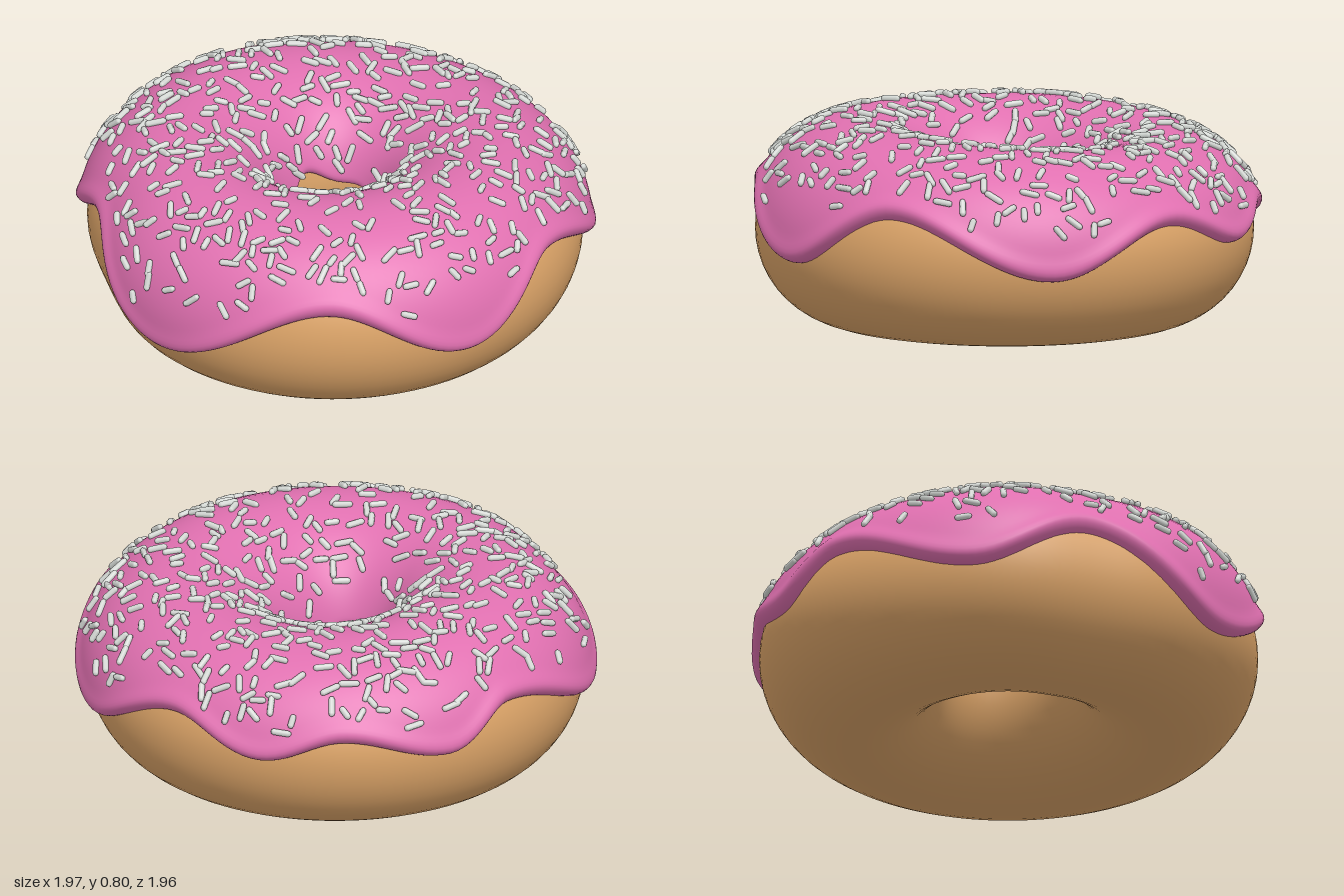
import * as THREE from 'three';
import { mergeGeometries } from 'three/addons/utils/BufferGeometryUtils.js';

const TAU = Math.PI * 2, DEG = Math.PI / 180;
const MID = 0.58, TUBE = 0.365, CENTRE_Y = 0.368;

// Height of the icing's outer edge by angle around the ring (0 = front, 90 = +x).
const DRIPS = [[-95, 0.25], [-53, 0.51], [-20, 0.31], [9, 0.52], [48, 0.3], [79, 0.49], [102, 0.37],
  [121, 0.46], [146, 0.37], [164, 0.5], [201, 0.33], [229, 0.5], [265, 0.25]];

function outerEdge(theta) {
  let d = theta / DEG;
  while (d < -95) d += 360;
  while (d >= 265) d -= 360;
  const k = DRIPS.findIndex((p, i) => d >= p[0] && d < DRIPS[i + 1][0]);
  const [a, ya] = DRIPS[k], [b, yb] = DRIPS[k + 1];
  const y = ya + (yb - ya) * (1 - Math.cos(Math.PI * (d - a) / (b - a))) / 2;
  return Math.asin((y - CENTRE_Y) / TUBE);
}

function innerEdge(theta) {
  return Math.PI - 0.1 - 0.13 * Math.sin(3 * theta + 0.6) - 0.08 * Math.sin(5 * theta);
}

// Point on the ring: theta goes round the hole, phi round the tube (0 = outside, 90 = top).
function ringPoint(theta, phi, off) {
  const c = Math.cos(phi), s = Math.sin(phi);
  const outer = (1 + c) / 2, inner = (1 - c) / 2;
  const turn = ((theta / DEG - 232) % 360 + 540) % 360 - 180;
  const dent = 0.035 * Math.exp(-((turn / 15) ** 2));
  const r = MID + (TUBE + off) * c - dent * outer - 0.018 * Math.cos(2 * theta) * inner ** 2;
  const top = 0.765 - 0.028 * Math.sin(theta) + 0.008 * Math.cos(2 * theta);
  const lift = s > 0 ? (top - CENTRE_Y - 0.036) / TUBE : 1;
  return new THREE.Vector3(
    r * Math.sin(theta),
    Math.max(0, CENTRE_Y + (TUBE * lift + off) * s),
    r * Math.cos(theta) - 0.02 * inner ** 2);
}

// Smooth grid closed around the ring, and around the tube when loop is true.
function ringGeometry(nu, nv, loop, pointAt) {
  const rows = loop ? nv : nv + 1, pos = [], idx = [];
  for (let i = 0; i < nu; i++) {
    for (let j = 0; j < rows; j++) pos.push(...pointAt(i / nu * TAU, j / nv).toArray());
    for (let j = 0; j < nv; j++) {
      const i2 = (i + 1) % nu, j2 = loop ? (j + 1) % nv : j + 1;
      const a = i * rows + j, b = i2 * rows + j, c = i2 * rows + j2, d = i * rows + j2;
      idx.push(a, b, d, b, c, d);
    }
  }
  const g = new THREE.BufferGeometry();
  g.setAttribute('position', new THREE.Float32BufferAttribute(pos, 3));
  g.setIndex(idx);
  g.computeVertexNormals();
  return g;
}

// Icing thickness: rounded rims, slightly plump along the outer edge.
function icingPoint(theta, t) {
  const a = outerEdge(theta), b = innerEdge(theta);
  const phi = a + (b - a) * (1 - Math.cos(Math.PI * t)) / 2;
  const e = Math.min(phi - a, b - phi);
  const round = Math.sqrt(Math.max(0, 1 - (1 - Math.min(1, e / 0.1)) ** 2));
  const plump = phi - a < b - phi ? 0.012 * Math.exp(-(((e - 0.12) / 0.1) ** 2)) : 0;
  return ringPoint(theta, phi, -0.008 + (0.044 + plump) * round);
}

// Small capsules scattered over the icing, lying flat at random headings.
function sprinkleGeometry(count) {
  let seed = 12345;
  const rand = () => (seed = (seed * 16807) % 2147483647) / 2147483647;
  const parts = [], placed = [], up = new THREE.Vector3(0, 1, 0);
  for (let tries = 0; parts.length < count && tries < 20000; tries++) {
    const theta = rand() * TAU, phi = rand() * Math.PI;
    const keep = rand();
    if (phi < outerEdge(theta) + 0.3 || phi > innerEdge(theta) - 0.15) continue;
    const weight = (0.6 + 0.4 * Math.cos(phi)) * (0.12 + 0.88 * THREE.MathUtils.smoothstep(Math.sin(phi), 0.15, 0.75));
    if (keep > weight) continue;
    const p = ringPoint(theta, phi, 0.043);
    if (placed.some(q => q.distanceToSquared(p) < 0.0016)) continue;
    placed.push(p);
    const du = ringPoint(theta + 0.01, phi, 0.043).sub(p).normalize();
    const dv = ringPoint(theta, phi + 0.01, 0.043).sub(p).normalize();
    const heading = rand() * TAU;
    const dir = du.multiplyScalar(Math.cos(heading)).addScaledVector(dv, Math.sin(heading)).normalize();
    const g = new THREE.CapsuleGeometry(0.0125, 0.03 + 0.03 * rand(), 2, 7);
    g.applyQuaternion(new THREE.Quaternion().setFromUnitVectors(up, dir));
    g.translate(p.x, p.y, p.z);
    parts.push(g);
  }
  return mergeGeometries(parts);
}

export function createModel() {
  const material = (name, color) => Object.assign(new THREE.MeshStandardMaterial({ color }), { name });
  const group = new THREE.Group();
  group.name = 'doughnut';
  const add = (name, geometry, mat) => {
    const mesh = new THREE.Mesh(geometry, mat);
    mesh.name = name;
    group.add(mesh);
  };
  add('dough', ringGeometry(96, 48, true, (theta, t) => ringPoint(theta, t * TAU, 0)),
    material('goldenDough', 0xdca468));
  add('icing', ringGeometry(180, 56, false, icingPoint), material('pinkIcing', 0xe070b0));
  add('sprinkles', sprinkleGeometry(520), material('paleSprinkle', 0xd8dcd8));
  return group;
}
